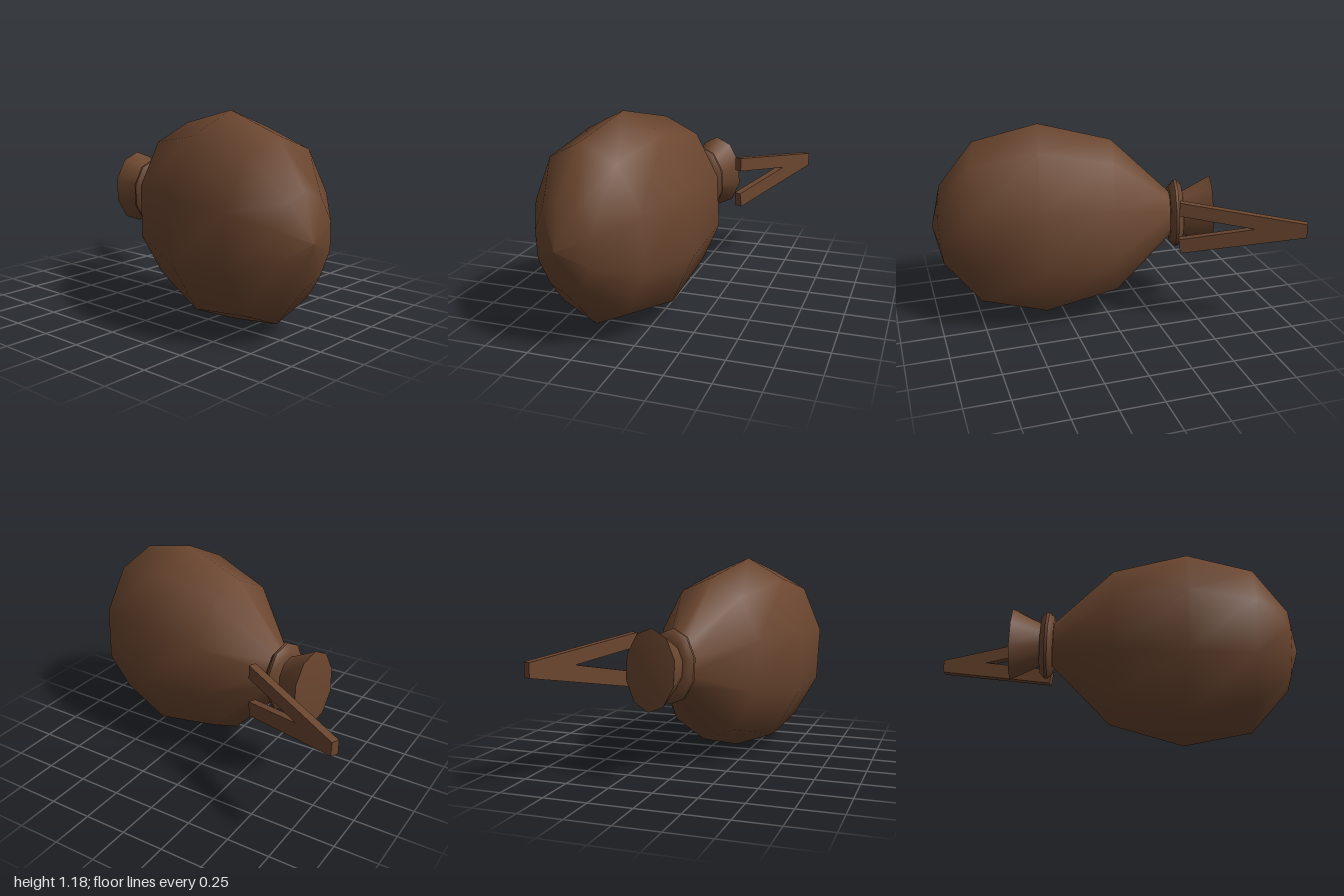
import * as THREE from 'three';
import { toCreasedNormals } from 'three/addons/utils/BufferGeometryUtils.js';

const SIDES = 10;

// Ten-sided lathe from [radius, height] pairs, listed bottom to top
function turned(profile) {
  return new THREE.LatheGeometry(profile.map(([r, h]) => new THREE.Vector2(r, h)), SIDES);
}

export function createModel() {
  const model = new THREE.Group();
  const leather = new THREE.MeshStandardMaterial({ color: 0x6b462f });
  leather.name = 'brown leather';

  const add = (parent, name, geometry) => {
    const mesh = new THREE.Mesh(geometry, leather);
    mesh.name = name;
    parent.add(mesh);
    return mesh;
  };

  // Pouch lies on its side: local y runs towards the mouth, local z is up
  const pouch = new THREE.Group();
  pouch.name = 'pouch';
  const axis = new THREE.Vector3(0.23, 0.03, -0.973).normalize();
  const side = new THREE.Vector3().crossVectors(axis, new THREE.Vector3(-0.05, 1, 0.03)).normalize();
  const up = new THREE.Vector3().crossVectors(side, axis);
  pouch.quaternion.setFromRotationMatrix(new THREE.Matrix4().makeBasis(side, axis, up));
  pouch.position.set(-0.17, 0.595, 0.35);
  pouch.scale.x = 0.716; // flattened cross-section
  model.add(pouch);

  // Swollen body, narrowing to the neck
  add(pouch, 'body', turned([
    [0, -0.66], [0.25, -0.595], [0.503, -0.382], [0.59, 0], [0.478, 0.417], [0.13, 0.765], [0.12, 0.82],
  ]));

  // Flared, closed mouth
  add(pouch, 'mouth', toCreasedNormals(turned([
    [0.12, 0.76], [0.135, 0.83], [0.225, 1.0], [0, 1.022],
  ]), 0.75));

  // Cord tied round the neck
  add(pouch, 'neckCord', toCreasedNormals(turned([
    [0.12, 0.755], [0.175, 0.755], [0.21, 0.785], [0.21, 0.8], [0.175, 0.83], [0.12, 0.83],
  ]), 0.75));

  // Loose V-shaped strap beside the neck
  const length = 0.715;
  const outline = new THREE.Shape([
    [0, 0.79], [0, 0.71], [0.43, 0.655], [0, 0.565], [0.012, 0.48], [length, 0.62], [length, 0.7],
  ].map(([x, y]) => new THREE.Vector2(x, y)));
  const strap = add(model, 'strap', new THREE.ExtrudeGeometry(outline, { depth: 0.044, bevelEnabled: false }));
  strap.rotation.y = 1.123;
  strap.position.set(0.242, 0, -0.359);

  return model;
}
